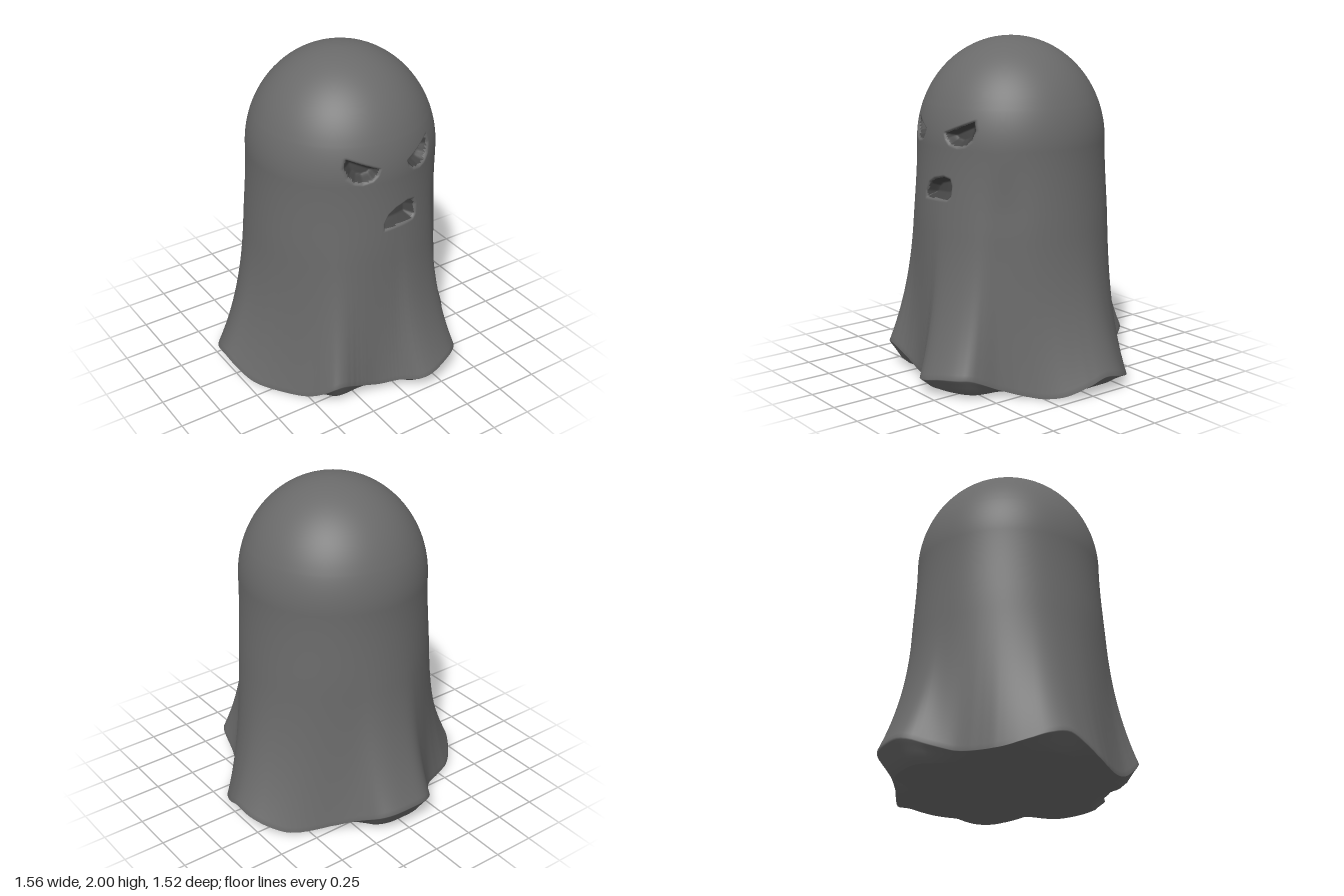
import * as THREE from 'three';

const COLS = 280;
const { lerp, smoothstep } = THREE.MathUtils;

// Hem of the sheet: x, y, z, running from the front round by the left side
const HEM = [
  [0, .07, .665], [.1, .09, .745], [.17, .105, .757], [.28, .13, .73], [.38, .14, .68], [.43, .14, .625],
  [.47, .06, .45], [.52, .02, .345], [.62, .005, .25], [.7, .02, .16], [.76, .07, .03], [.777, .11, -.08],
  [.765, .09, -.19], [.7, .05, -.3], [.6, .02, -.395], [.38, .05, -.52], [.27, .09, -.61], [.19, .14, -.72],
  [.12, .155, -.755], [0, .16, -.765], [-.12, .155, -.755], [-.18, .14, -.72], [-.27, .09, -.6], [-.36, .05, -.52],
  [-.6, .02, -.4], [-.7, .05, -.3], [-.765, .09, -.19], [-.78, .11, -.08], [-.76, .07, .03], [-.71, .02, .16],
  [-.57, .005, .36], [-.51, .03, .46], [-.47, .09, .55], [-.43, .15, .615], [-.38, .16, .63], [-.24, .1, .615],
  [-.12, .06, .62],
].map(p => new THREE.Vector3(...p));

// Face openings as outlines in x, y
const EYE = [[.092, 1.488], [.27, 1.565], [.286, 1.51], [.27, 1.455], [.235, 1.425], [.19, 1.415], [.135, 1.427], [.105, 1.455]];
const MOUTH = [[-.068, 1.1], [-.068, 1.14], [-.04, 1.19], [.01, 1.22], [.09, 1.24], [.14, 1.23], [.155, 1.19], [.15, 1.13], [.13, 1.11], [.03, 1.105]];
const OPENINGS = [EYE, EYE.map(([x, y]) => [-x, y]), MOUTH];

// Distance to an outline, positive inside
function insideDistance(outline, x, y) {
  let best = Infinity, inside = false;
  outline.forEach(([ax, ay], i) => {
    const [bx, by] = outline[(i + 1) % outline.length];
    const dx = bx - ax, dy = by - ay;
    const t = THREE.MathUtils.clamp(((x - ax) * dx + (y - ay) * dy) / (dx * dx + dy * dy), 0, 1);
    best = Math.min(best, Math.hypot(x - ax - t * dx, y - ay - t * dy));
    if ((ay > y) !== (by > y) && x < ax + (y - ay) / dy * dx) inside = !inside;
  });
  return inside ? best : -best;
}

// How far a point lies inside the nearest face opening
function faceInside(x, y, z) {
  if (z < 0 || y < 1 || y > 1.65) return -1;
  return Math.max(...OPENINGS.map(o => insideDistance(o, x, y)));
}

// Hem point in each column direction; columns crowd toward the face
function sampleHem() {
  const pts = new THREE.CatmullRomCurve3(HEM, true, 'centripetal').getPoints(1200);
  const polar = pts.map(p => ({ a: Math.atan2(p.x, p.z), r: Math.hypot(p.x, p.z), y: p.y })).sort((p, q) => p.a - q.a);
  return Array.from({ length: COLS }, (_, j) => {
    const u = (j / COLS) * 2 * Math.PI - Math.PI;
    const a = u - .7 * Math.sin(u);
    const near = polar.find(p => p.a >= a) ?? polar[0];
    return { a, r: near.r, y: Math.max(near.y, 0) };
  });
}

// Grid of rings, wrapped round, rows going downward; sunken cells form a second group
function ringsGeometry(rings, sunken) {
  const cloth = [], hollow = [];
  for (let i = 0; i < rings.length - 1; i++) {
    for (let j = 0; j < COLS; j++) {
      const k = (j + 1) % COLS;
      const a = i * COLS + j, b = i * COLS + k, c = a + COLS, d = b + COLS;
      const list = [a, b, c, d].every(v => sunken.has(v)) ? hollow : cloth;
      if (i > 0) list.push(a, c, b);
      list.push(b, c, d);
    }
  }
  const g = new THREE.BufferGeometry();
  g.setAttribute('position', new THREE.Float32BufferAttribute(rings.flat(2), 3));
  g.setIndex([...cloth, ...hollow]);
  g.addGroup(0, cloth.length, 0);
  g.addGroup(cloth.length, hollow.length, 1);
  g.computeVertexNormals();
  return g;
}

export function createModel() {
  const group = new THREE.Group();
  group.name = 'ghost';
  const clothMaterial = new THREE.MeshStandardMaterial({ color: 0x6a6a6a });
  const hollowMaterial = new THREE.MeshStandardMaterial({ color: 0x444444 });
  const hem = sampleHem();

  // Row heights: dome, finely divided face, draped skirt
  const levels = [];
  for (let i = 0; i <= 20; i++) levels.push(1.4 + .6 * Math.cos(i / 20 * 1.18));
  for (let y = 1.62; y > 1.06; y -= .006) levels.push(y);
  for (let i = 0; i <= 34; i++) levels.push(lerp(1.055, .1, i / 34));

  const sunken = new Set();
  const rings = levels.map((level, i) => hem.map((h, j) => {
    const dome = Math.sqrt(Math.max(0, 1 - (Math.max(0, level - 1.4) / .6) ** 2));
    const core = .553 * dome + .017 * (1 - smoothstep(level, .9, 1.4));
    const w = Math.max(0, (1.4 - level) / 1.3) ** 2.8;
    // Long crease down the front left of the cloth
    const crease = .02 * Math.exp(-(((h.a - .85) / .2) ** 2)) * (1 - smoothstep(level, 1, 1.4));
    let r = lerp(core - crease, h.r, w);
    const y = level > 1 ? level : lerp(h.y, 1, (level - .1) / .9);
    // Eyes and mouth sink in as soft-edged bowls
    const inside = faceInside(r * Math.sin(h.a), y, Math.cos(h.a));
    if (inside > 0) sunken.add(i * COLS + j);
    r -= .065 * smoothstep(inside, -.008, .035);
    return [r * Math.sin(h.a), y, r * Math.cos(h.a) + .01 * (1 - w)];
  }));

  // Hem curling under to the flat base
  for (const [scale, k] of [[.992, .08], [.975, .22], [.94, .5], [.905, .8], [.86, 1]]) {
    rings.push(hem.map(h => [h.r * scale * Math.sin(h.a), lerp(h.y, .02, k), h.r * scale * Math.cos(h.a)]));
  }
  const sheet = new THREE.Mesh(ringsGeometry(rings, sunken), [clothMaterial, hollowMaterial]);
  sheet.name = 'sheetWithFace';
  group.add(sheet);

  // Flat base
  const outline = new THREE.Shape(hem.map(h => new THREE.Vector2(h.r * .86 * Math.sin(h.a), h.r * .86 * Math.cos(h.a))));
  const base = new THREE.Mesh(new THREE.ShapeGeometry(outline).rotateX(Math.PI / 2), clothMaterial);
  base.name = 'base';
  base.position.y = .02;
  group.add(base);
  return group;
}
